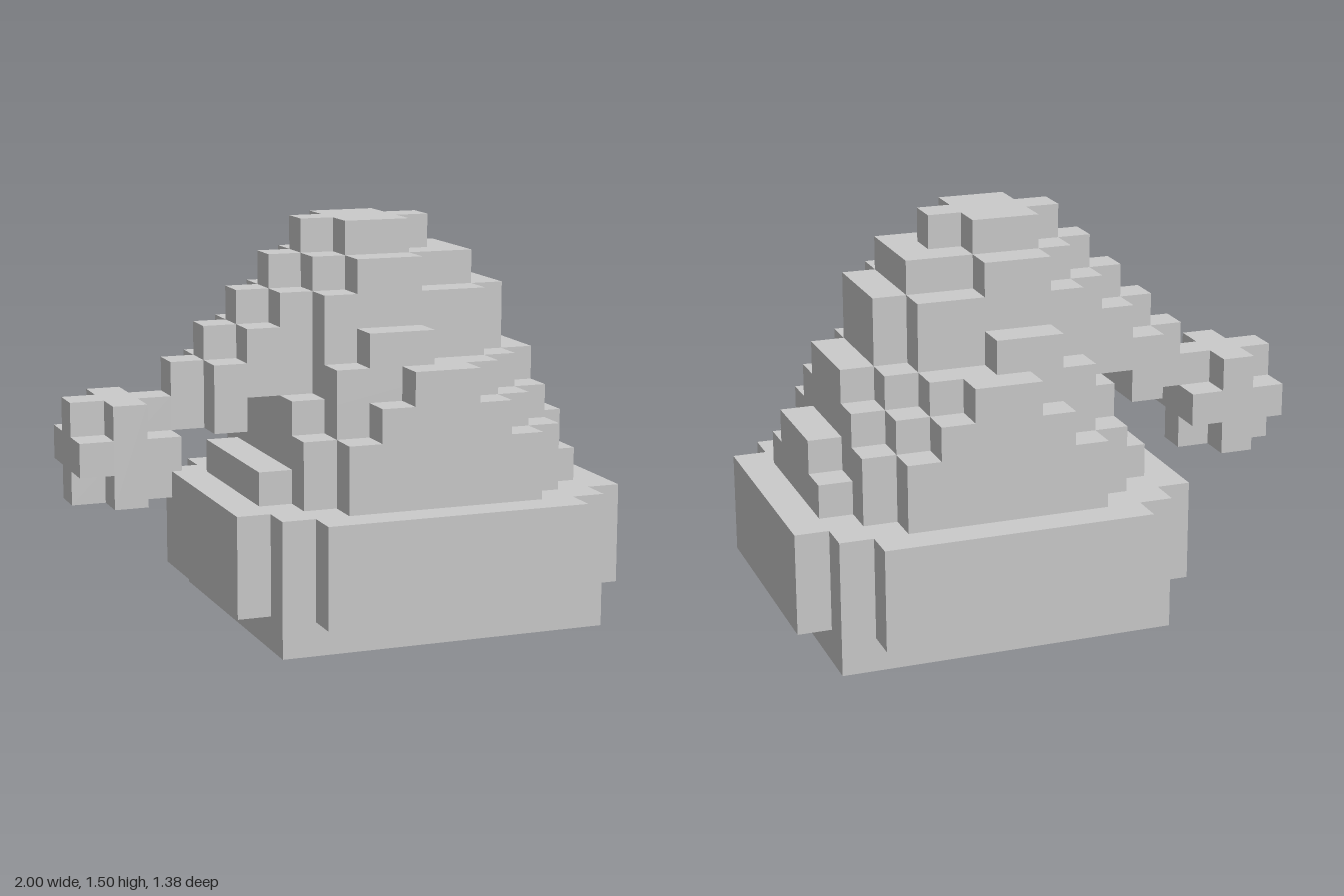
import * as THREE from 'three';
import { mergeGeometries } from 'three/addons/utils/BufferGeometryUtils.js';

const U = 0.125; // edge of one block

// Box from block coordinates: x counted from the right edge, y from the floor,
// z in blocks from the middle plane.
function block(x0, x1, y0, y1, z0, z1) {
  const g = new THREE.BoxGeometry((x1 - x0) * U, (y1 - y0) * U, (z1 - z0) * U);
  g.translate((x0 + x1) * U / 2 - 1, (y0 + y1) * U / 2, (z0 + z1) * U / 2);
  return g;
}

// Box symmetric about the middle plane, reaching k blocks to either side of the centre row
const centred = (x0, x1, y0, y1, k) => block(x0, x1, y0, y1, -k - 0.5, k + 0.5);

export function createModel() {
  const group = new THREE.Group();
  const material = new THREE.MeshStandardMaterial({ color: 0xcccccc, flatShading: true });
  const add = (name, parts) => {
    const mesh = new THREE.Mesh(mergeGeometries(parts), material);
    mesh.name = name;
    group.add(mesh);
  };

  // Brim: hollow square band
  add('brimBand', [
    block(5, 15, 0, 4, 2.5, 4.5),
    block(5, 15, 0, 4, -4.5, -2.5),
    centred(5, 7, 0, 4, 2),
    centred(13, 15, 0, 4, 2),
  ]);

  // Raised trim panels on the four sides of the brim
  add('brimTrim', [
    block(6, 14, 1, 4, 4.5, 5.5),
    block(6, 14, 1, 4, -5.5, -4.5),
    centred(4, 5, 1, 4, 3),
    centred(15, 16, 1, 4, 3),
  ]);

  // Crown: column heights along x, one row per distance from the middle plane
  const rows = [
    { start: 5, heights: [5, 11, 12, 12, 12, 12, 11, 10, 8, 6] },
    { start: 5, heights: [5, 10, 11, 12, 12, 11, 11, 10, 8, 6] },
    { start: 5, heights: [5, 7, 10, 11, 11, 10, 10, 8, 7, 5] },
    { start: 6, heights: [6, 8, 9, 9, 8, 8, 7, 6] },
    { start: 7, heights: [6, 7, 8, 8, 7, 6] },
  ];
  const crown = [];
  rows.forEach(({ start, heights }, k) => {
    for (let y = 4; y < Math.max(...heights); y++) {
      const first = heights.findIndex((h) => h > y);
      const last = heights.findLastIndex((h) => h > y);
      crown.push(centred(start + first, start + last + 1, y, y + 1, k));
    }
  });
  add('crown', crown);

  // Drooping tail: a raised centre ridge on a wider strip
  add('tail', [
    centred(3, 4, 6, 8, 0),
    centred(4, 5, 6, 8, 1),
    centred(4, 5, 8, 9, 0),
    centred(5, 6, 7, 9, 1),
    centred(5, 6, 9, 10, 0),
  ]);

  // Pompom: a 3-block cube without its eight corners
  add('pompom', [
    centred(0, 3, 5, 6, 0),
    centred(1, 2, 4, 7, 1),
    centred(0, 3, 5, 6, 1),
    centred(0, 3, 4, 7, 0),
  ]);

  return group;
}
